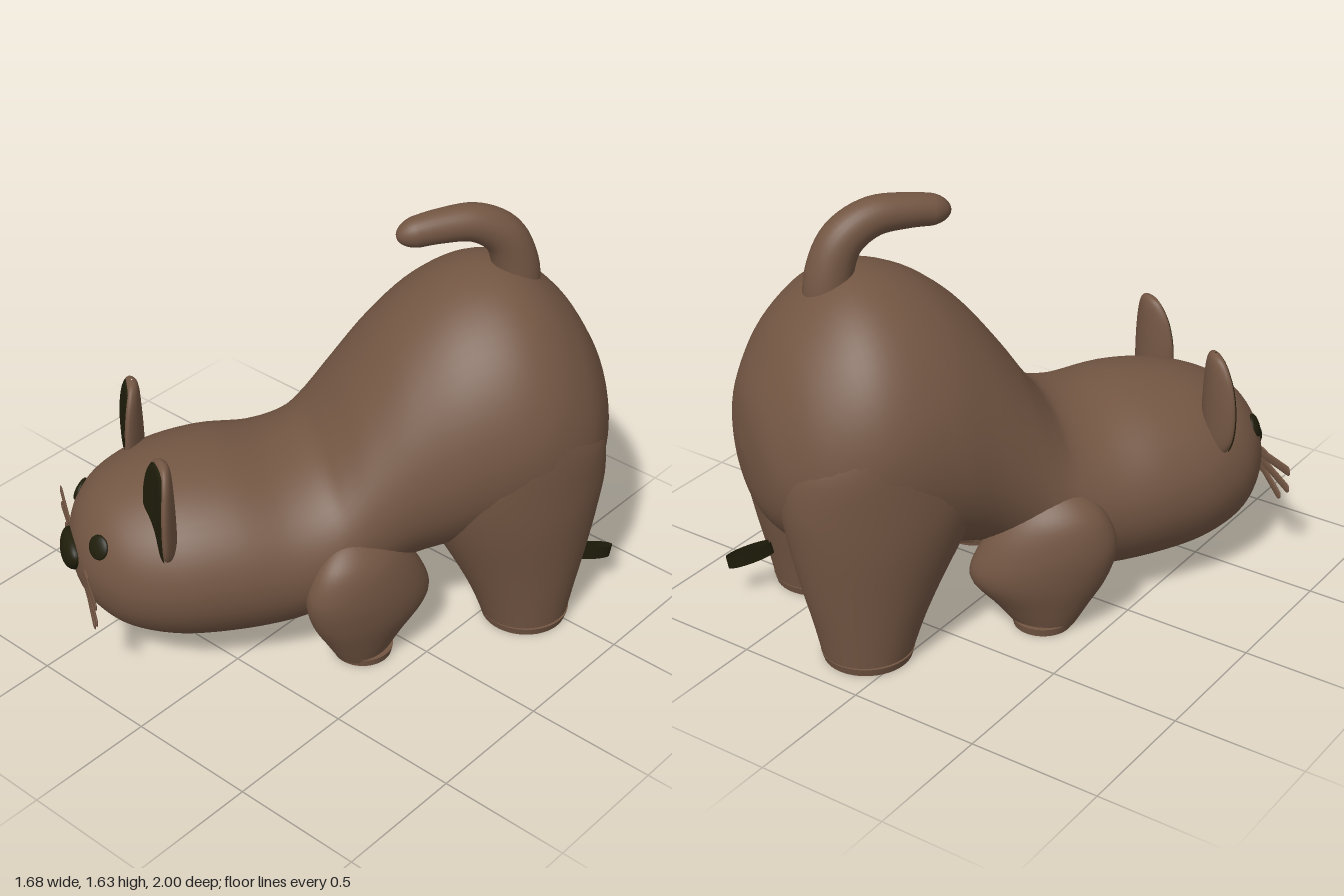
import * as THREE from 'three';

const brown = new THREE.MeshStandardMaterial({ color: 0x735643 });
brown.name = 'brown plush';
const dark = new THREE.MeshStandardMaterial({ color: 0x1f1d0a, side: THREE.DoubleSide });
dark.name = 'dark felt';

// Catmull-Rom interpolation through rows of numbers, n steps per row
function smooth(keys, n) {
  const rows = [];
  const at = (i) => keys[Math.min(Math.max(i, 0), keys.length - 1)];
  for (let i = 0; i < keys.length - 1; i++) {
    for (let k = 0; k < n; k++) {
      const t = k / n;
      rows.push(at(i).map((p1, c) => {
        const p0 = at(i - 1)[c], p2 = at(i + 1)[c], p3 = at(i + 2)[c];
        return p1 + 0.5 * t * (p2 - p0 + t * (2 * p0 - 5 * p1 + 4 * p2 - p3 + t * (3 * (p1 - p2) + p3 - p0)));
      }));
    }
  }
  rows.push(keys[keys.length - 1]);
  return rows;
}

// Closed rings joined into a smooth skin; point(row, cos, sin) gives [x, y, z]
function loft(rows, point, sides = 40) {
  const pos = [], idx = [];
  rows.forEach((row, i) => {
    for (let j = 0; j < sides; j++) {
      const a = (j / sides) * Math.PI * 2;
      pos.push(...point(row, Math.cos(a), Math.sin(a)));
      if (i === rows.length - 1) continue;
      const p = i * sides + j, q = i * sides + (j + 1) % sides;
      idx.push(p, p + sides, q, q, p + sides, q + sides);
    }
  });
  const g = new THREE.BufferGeometry();
  g.setAttribute('position', new THREE.Float32BufferAttribute(pos, 3));
  g.setIndex(idx);
  g.computeVertexNormals();
  return g;
}

export function createModel() {
  const model = new THREE.Group();
  model.name = 'crouchingCat';
  const cat = new THREE.Group();
  cat.name = 'cat';
  cat.rotation.y = -0.574;
  cat.position.x = -0.017;
  model.add(cat);

  const add = (name, geometry, material, parent = cat) => {
    const mesh = new THREE.Mesh(geometry, material);
    mesh.name = name;
    parent.add(mesh);
    return mesh;
  };

  // Head, back and rump: z, bottom, top, half width, how much wider the lower half is
  const body = smooth([
    [0.965, 0.395, 0.405, 0.005, 0], [0.94, 0.28, 0.53, 0.14, 0], [0.88, 0.19, 0.63, 0.25, 0],
    [0.78, 0.12, 0.70, 0.345, 0], [0.62, 0.075, 0.755, 0.415, 0], [0.42, 0.06, 0.775, 0.445, 0],
    [0.22, 0.07, 0.755, 0.45, 0], [0.08, 0.11, 0.785, 0.45, 0.02], [0, 0.14, 0.87, 0.44, 0.05],
    [-0.1, 0.2, 1.015, 0.435, 0.08], [-0.25, 0.27, 1.2, 0.455, 0.1], [-0.42, 0.31, 1.33, 0.495, 0.1],
    [-0.6, 0.34, 1.385, 0.515, 0.1], [-0.75, 0.36, 1.35, 0.495, 0.1], [-0.9, 0.4, 1.22, 0.42, 0.1],
    [-1.0, 0.49, 1.06, 0.295, 0.08], [-1.045, 0.6, 0.94, 0.17, 0.04], [-1.064, 0.76, 0.78, 0.005, 0],
  ], 5);
  add('headAndBody', loft(body, ([z, b, t, w, e], c, s) => [w * c * (1 - e * s), (b + t) / 2 + (t - b) / 2 * s, z], 56), brown);

  // Legs: y, x, z, half width, half depth
  const hindLeg = smooth([
    [0.015, 0.285, -0.717, 0.158, 0.165], [0.15, 0.28, -0.705, 0.18, 0.205], [0.3, 0.272, -0.685, 0.207, 0.26],
    [0.5, 0.262, -0.65, 0.243, 0.335], [0.65, 0.26, -0.63, 0.254, 0.372], [0.8, 0.28, -0.63, 0.235, 0.345],
    [0.91, 0.33, -0.63, 0.175, 0.24], [0.96, 0.4, -0.63, 0.08, 0.11], [0.97, 0.42, -0.63, 0.005, 0.005],
  ], 5);
  const frontLeg = smooth([
    [0.015, 0.345, -0.056, 0.1, 0.11], [0.1, 0.35, -0.065, 0.122, 0.165], [0.22, 0.362, -0.08, 0.14, 0.24],
    [0.35, 0.38, -0.05, 0.14, 0.235], [0.47, 0.385, -0.03, 0.115, 0.175], [0.545, 0.375, -0.02, 0.06, 0.09],
    [0.565, 0.37, -0.02, 0.005, 0.005],
  ], 5);
  // Ears: y, half width, half thickness
  const ear = smooth([
    [0.53, 0.06, 0.03], [0.58, 0.098, 0.036], [0.65, 0.116, 0.036], [0.75, 0.117, 0.034],
    [0.84, 0.1, 0.03], [0.895, 0.072, 0.026], [0.923, 0.042, 0.018], [0.933, 0.003, 0.003],
  ], 4);
  const cup = (x) => 0.035 * (x / 0.12) ** 2 - 0.015;

  for (const s of [1, -1]) {
    const side = s > 0 ? 'left' : 'right';
    // The last value turns the forward side of the leg outwards
    for (const [name, rows, r, splay] of [['HindLeg', hindLeg, 0.17, 0], ['FrontLeg', frontLeg, 0.115, 0.27]]) {
      const [, x, z] = rows[0];
      add(side + name, loft(rows, ([y, lx, lz, a, b], c, n) => [s * (lx + splay * b * n) + a * c, y, lz + b * n]), brown);
      const sole = add(side + name + 'Sole', new THREE.CylinderGeometry(r, r * 0.95, 0.03, 40), brown);
      sole.position.set(s * x, 0.015, z);
    }

    // Cupped ear with dark lining
    const earGroup = new THREE.Group();
    earGroup.name = side + 'Ear';
    earGroup.position.set(s * 0.275, 0, 0.67);
    earGroup.rotation.y = s * 0.1;
    cat.add(earGroup);
    add(side + 'EarShell', loft(ear, ([y, w, t], c, n) => [w * c, y, t * n + cup(w * c)], 32), brown, earGroup);
    const lining = new THREE.PlaneGeometry(1, 1, 12, ear.length - 1);
    const lp = lining.attributes.position;
    for (let i = 0; i < lp.count; i++) {
      const [y, w, t] = ear[ear.length - 1 - Math.floor(i / 13)];
      const u = lp.getX(i) * 2 * 0.93, x = w * u;
      lp.setXYZ(i, x, y - 0.006, t * Math.sqrt(1 - u * u) + cup(x) + 0.004);
    }
    lining.computeVertexNormals();
    add(side + 'EarLining', lining, dark, earGroup);

    // Eye
    const eye = add(side + 'Eye', new THREE.SphereGeometry(1, 24, 16), dark);
    eye.scale.set(0.047, 0.046, 0.015);
    eye.position.set(s * 0.187, 0.544, 0.885);
    eye.rotation.set(-0.4, s * 0.55, 0, 'YXZ');

    // Flat whiskers: three prongs on a small pad
    const whiskers = new THREE.Group();
    whiskers.name = side + 'Whiskers';
    whiskers.position.set(s * 0.13, 0.375, 0.936);
    cat.add(whiskers);
    const pad = add('whiskerPad', new THREE.BoxGeometry(0.1, 0.1, 0.008), brown, whiskers);
    pad.position.x = s * 0.02;
    for (const [x, y, y0] of [[0.24, 0.05, 0.025], [0.24, -0.025, 0], [0.18, -0.085, -0.025]]) {
      const from = new THREE.Vector2(0.03 * s, y0), to = new THREE.Vector2(x * s, y);
      const prong = add('whisker', new THREE.CapsuleGeometry(0.02, from.distanceTo(to) - 0.02, 6, 12), brown, whiskers);
      prong.position.set((from.x + to.x) / 2, (from.y + to.y) / 2, 0);
      prong.rotation.z = Math.atan2(to.y - from.y, to.x - from.x) - Math.PI / 2;
      prong.scale.z = 0.25;
    }
  }

  // Nose, narrowing downwards
  const nose = new THREE.SphereGeometry(1, 32, 24);
  const np = nose.attributes.position;
  for (let i = 0; i < np.count; i++) {
    const y = np.getY(i);
    np.setXYZ(i, np.getX(i) * (1 + 0.38 * y) * 0.094, y * 0.073, np.getZ(i) * 0.045);
  }
  nose.computeVertexNormals();
  add('nose', nose, dark).position.set(0, 0.408, 0.955);

  // Tail, curling forward over the back
  const path = new THREE.CatmullRomCurve3([[1.22, -0.72], [1.37, -0.715], [1.49, -0.665], [1.555, -0.56],
    [1.56, -0.43], [1.538, -0.265]].map(([y, z]) => new THREE.Vector3(0, y, z)));
  const steps = Array.from({ length: 41 }, (_, i) => (i < 28 ? i / 28 * 0.88 : 0.88 + 0.12 * Math.sin((i - 27) / 13 * Math.PI / 2)));
  add('tail', loft(steps, (u, c, s) => {
    const p = path.getPointAt(Math.min(u, 1)), t = path.getTangentAt(Math.min(u, 1));
    const end = Math.max(0, (u - 0.88) / 0.12);
    const r = (0.095 - 0.042 * u) * Math.sqrt(Math.max(0.0005, 1 - end * end));
    return [r * c, p.y - t.z * r * s, p.z + t.y * r * s];
  }, 28), brown);

  // Folded ribbon tag behind the left hind leg
  const tag = add('ribbonTag', new THREE.CylinderGeometry(1, 1, 0.052, 24, 1, true), dark);
  tag.scale.set(0.024, 1, 0.09);
  tag.position.set(0.23, 0.182, -0.997);
  tag.rotation.x = -0.17;

  return model;
}
